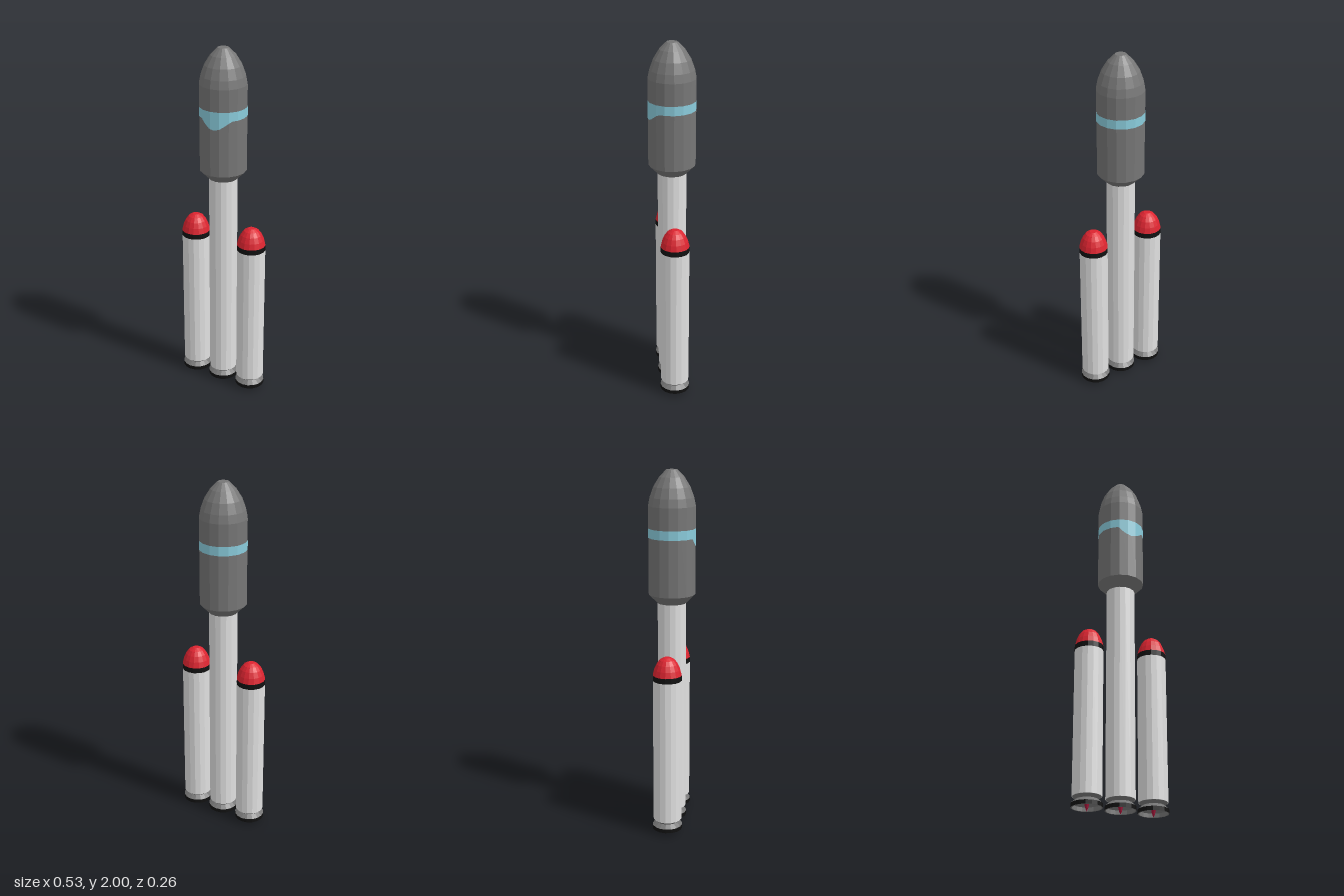
import * as THREE from 'three';

const SIDES = 16;
const mat = (name, color, extra = {}) => {
  const m = new THREE.MeshStandardMaterial({ color, flatShading: true, ...extra });
  m.name = name;
  return m;
};

export function createModel() {
  const white = mat('white', 0xe0e0e0);
  const grey = mat('dark grey', 0x767676);
  const black = mat('black', 0x111111);
  const red = mat('red', 0xdc2430);
  const crimson = mat('crimson', 0xa01236);
  const blue = mat('light blue', 0x8accdc, { side: THREE.DoubleSide });

  // Profiles are [radius, height] pairs
  const lathe = (parent, name, material, profile) => {
    const pts = profile.map(([r, y]) => new THREE.Vector2(r, y));
    const mesh = new THREE.Mesh(new THREE.LatheGeometry(pts, SIDES), material);
    mesh.name = name;
    parent.add(mesh);
  };

  // Open engine bell with a black rim and a pointed exhaust cone
  const addEngine = (parent) => {
    lathe(parent, 'engineBell', grey, [
      [0.052, 0.076], [0.06, 0.06], [0.076, 0.042], [0.076, 0.02], [0.083, 0.02]]);
    lathe(parent, 'engineRim', black, [[0.083, 0.02], [0.083, 0.042]]);
    lathe(parent, 'engineNeck', grey, [[0.083, 0.042], [0.06, 0.062], [0.076, 0.078]]);
    lathe(parent, 'exhaustCone', crimson, [
      [0, 0], [0.007, 0.017], [0.014, 0.045], [0.018, 0.076]]);
  };

  const rocket = new THREE.Group();
  rocket.name = 'rocket';

  // Core stage
  const core = new THREE.Group();
  core.name = 'coreStage';
  lathe(core, 'coreBody', white, [[0, 0.076], [0.079, 0.078], [0.079, 1.285]]);
  addEngine(core);
  rocket.add(core);

  // Payload fairing
  lathe(rocket, 'fairing', grey, [
    [0.079, 1.28], [0.129, 1.33], [0.129, 1.81], [0.12, 1.855],
    [0.1, 1.91], [0.068, 1.962], [0.03, 2.0], [0, 2.0]]);

  // Blue band hugging the fairing, with a dip in its lower edge at the front
  const dip = [[-0.44, 1.64], [-0.27, 1.618], [-0.06, 1.598], [0.155, 1.59],
    [0.38, 1.597], [0.58, 1.612], [0.78, 1.63], [0.95, 1.64]];
  const lowerEdge = (a) => {
    for (let i = 1; i < dip.length; i++) {
      const [a0, y0] = dip[i - 1], [a1, y1] = dip[i];
      if (a >= a0 && a <= a1) return y0 + (y1 - y0) * (a - a0) / (a1 - a0);
    }
    return 1.64;
  };
  const step = 2 * Math.PI / SIDES, count = SIDES * 8;
  const pos = [], idx = [];
  for (let i = 0; i <= count; i++) {
    const a = -Math.PI + i * 2 * Math.PI / count;
    const within = (i % 8) / 8 * step - step / 2;
    const r = 0.1305 * Math.cos(step / 2) / Math.cos(within);
    const x = r * Math.sin(a), z = r * Math.cos(a);
    pos.push(x, lowerEdge(a), z, x, 1.69, z);
    if (i < count) {
      const k = 2 * i;
      idx.push(k, k + 2, k + 1, k + 2, k + 3, k + 1);
    }
  }
  const bandGeo = new THREE.BufferGeometry();
  bandGeo.setAttribute('position', new THREE.Float32BufferAttribute(pos, 3));
  bandGeo.setIndex(idx);
  bandGeo.computeVertexNormals();
  const band = new THREE.Mesh(bandGeo, blue);
  band.name = 'fairingBand';
  rocket.add(band);

  // Side boosters
  for (const side of [-1, 1]) {
    const booster = new THREE.Group();
    booster.name = side > 0 ? 'leftBooster' : 'rightBooster';
    lathe(booster, 'boosterBody', white, [[0, 0.076], [0.079, 0.078], [0.079, 0.89]]);
    lathe(booster, 'boosterBand', black, [[0.079, 0.89], [0.079, 0.92]]);
    lathe(booster, 'boosterNose', red, [
      [0.079, 0.92], [0.071, 0.952], [0.058, 0.982], [0.041, 1.005], [0.019, 1.018], [0, 1.018]]);
    addEngine(booster);
    booster.position.x = side * 0.182;
    rocket.add(booster);
  }
  return rocket;
}
